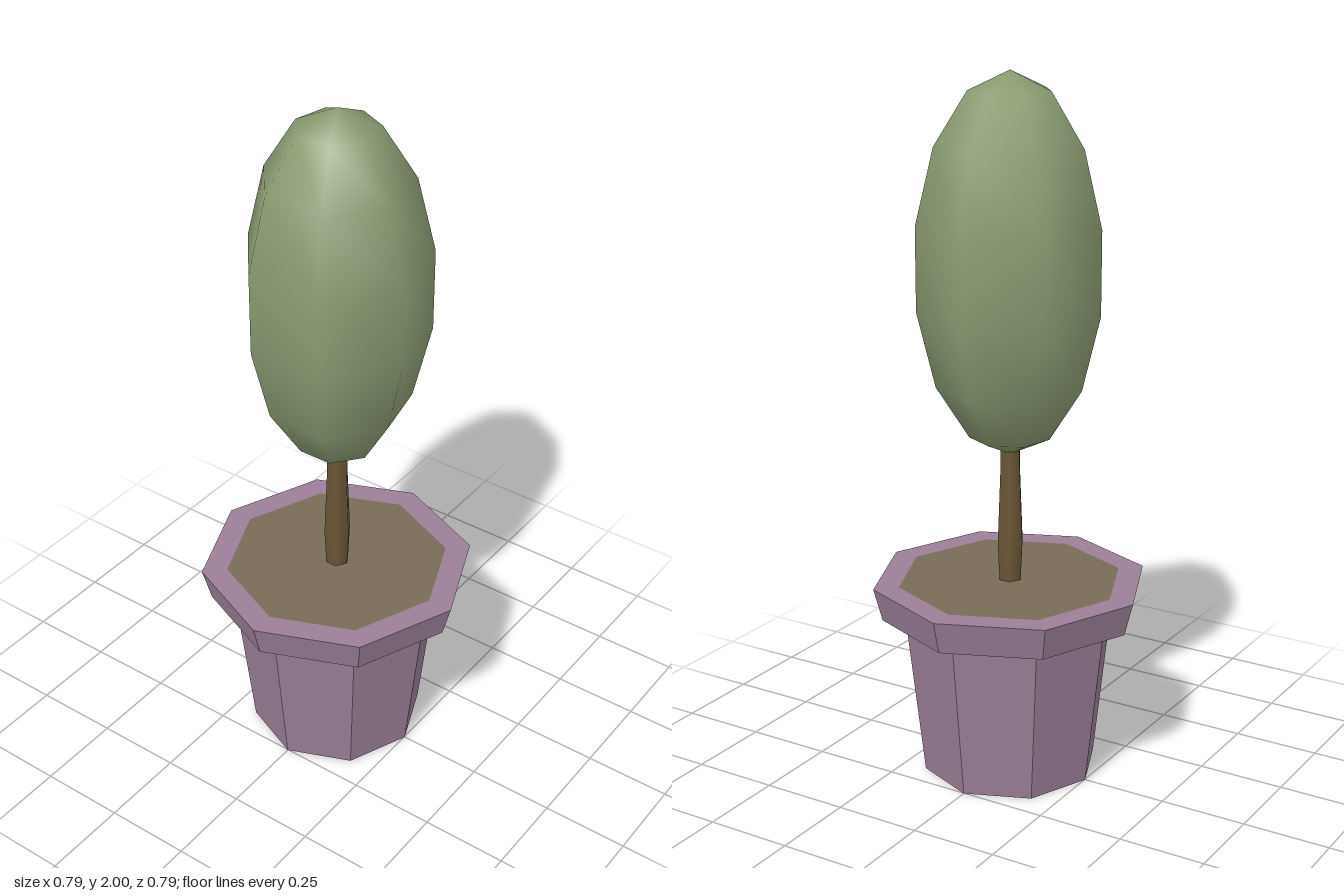
import * as THREE from 'three';

// Adds a named mesh with a plain coloured material
function addPart(group, name, geometry, color, flatShading = false) {
  const material = new THREE.MeshStandardMaterial({ color, flatShading });
  const mesh = new THREE.Mesh(geometry, material);
  mesh.name = name;
  group.add(mesh);
  return mesh;
}

// Turns [radius, height] pairs, listed bottom up, around the y axis
function turned(profile, sides) {
  return new THREE.LatheGeometry(profile.map(([r, y]) => new THREE.Vector2(r, y)), sides);
}

export function createModel() {
  const model = new THREE.Group();
  model.name = 'pottedTree';

  // Octagonal pot: closed base, tapered wall, flared rim and flat lip
  const potProfile = [
    [0, 0], [0.252, 0], [0.302, 0.45], [0.37, 0.475], [0.395, 0.57], [0.322, 0.57],
  ];
  addPart(model, 'pot', turned(potProfile, 8), 0x9b7f98, true);

  // Soil level with the lip
  const soil = new THREE.CircleGeometry(0.322, 8).rotateX(-Math.PI / 2);
  addPart(model, 'soil', soil, 0x786b55, true).position.y = 0.57;

  // Slim trunk, slightly swollen near its base
  const trunkProfile = [[0.034, 0.56], [0.04, 0.68], [0.031, 0.9], [0.03, 1.0]];
  addPart(model, 'trunk', turned(trunkProfile, 6), 0x6b5636);

  // Seven-sided smooth egg of leaves, one corner pointing to +x
  const leaves = new THREE.SphereGeometry(0.264, 7, 7).rotateY(Math.PI).scale(1, 0.53 / 0.264, 1);
  addPart(model, 'foliage', leaves, 0x8a9c72).position.y = 1.47;

  return model;
}
